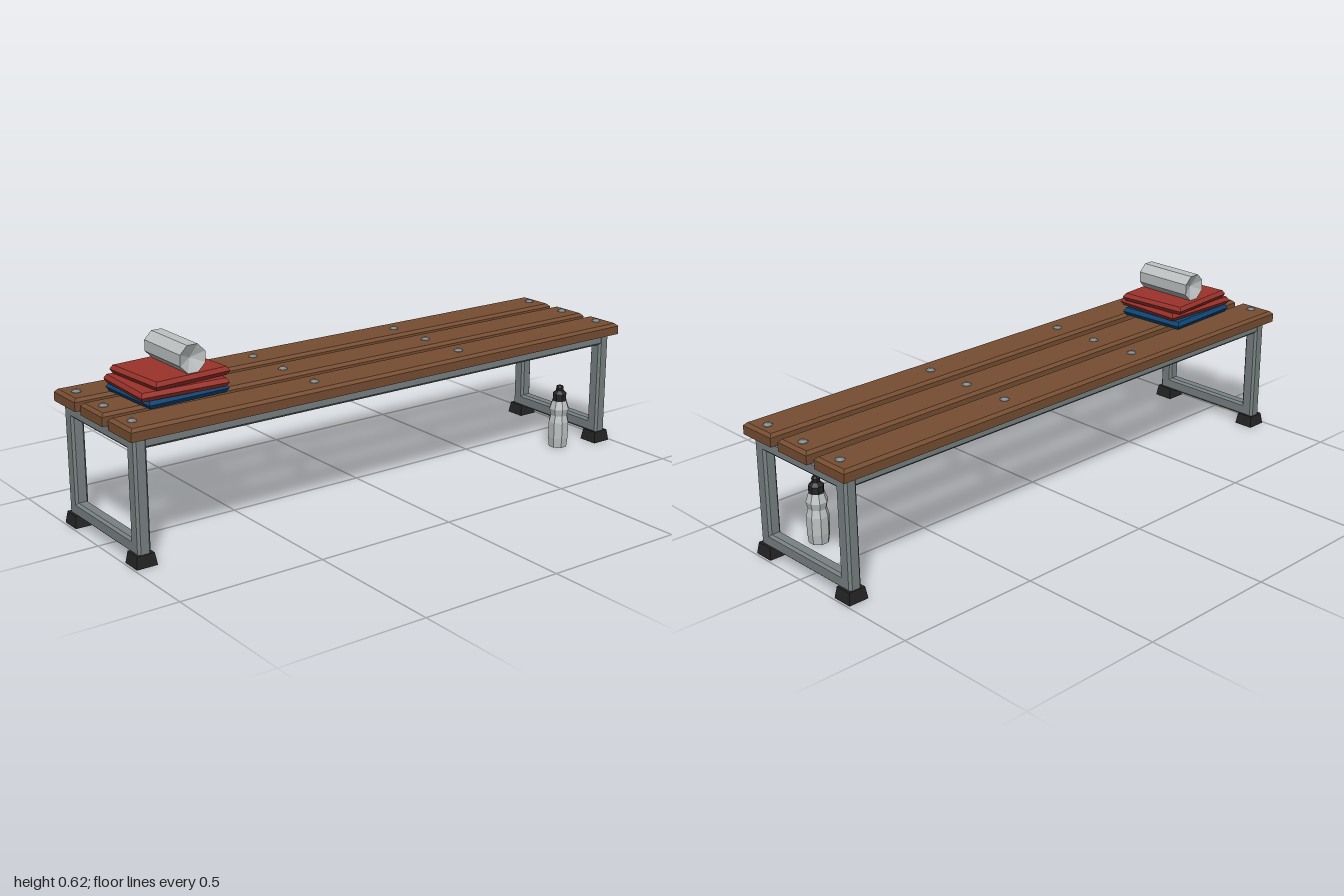
import * as THREE from 'three';

const material = (name, color) => {
  const m = new THREE.MeshStandardMaterial({ color });
  m.name = name;
  return m;
};

// Give every triangle its own normal for a faceted look
function faceted(geometry) {
  const g = geometry.index ? geometry.toNonIndexed() : geometry;
  g.computeVertexNormals();
  return g;
}

// Stack of rectangles [y, halfX, halfZ], closed at both ends
function stack(rings) {
  const positions = [], index = [];
  for (const [y, hx, hz] of rings)
    for (const [sx, sz] of [[1, 1], [1, -1], [-1, -1], [-1, 1]])
      positions.push(sx * hx, y, sz * hz);
  for (let i = 0; i < rings.length - 1; i++)
    for (let j = 0; j < 4; j++) {
      const a = i * 4 + j, b = i * 4 + (j + 1) % 4;
      index.push(a, b, b + 4, a, b + 4, a + 4);
    }
  const t = (rings.length - 1) * 4;
  index.push(0, 2, 1, 0, 3, 2, t, t + 1, t + 2, t, t + 2, t + 3);
  const g = new THREE.BufferGeometry();
  g.setAttribute('position', new THREE.Float32BufferAttribute(positions, 3));
  g.setIndex(index);
  return faceted(g);
}

// Rectangular tube with chamfered long edges, running along z
function bar(w, h, length, c = 0.008) {
  const x = w / 2, y = h / 2;
  const shape = new THREE.Shape([
    [x, c - y], [x, y - c], [x - c, y], [c - x, y],
    [-x, y - c], [-x, c - y], [c - x, -y], [x - c, -y],
  ].map(p => new THREE.Vector2(...p)));
  const g = new THREE.ExtrudeGeometry(shape, { depth: length, bevelEnabled: false });
  return faceted(g.translate(0, 0, -length / 2));
}

// Eight-sided turned form with flats facing the axes
function turned(points) {
  return faceted(new THREE.LatheGeometry(points.map(p => new THREE.Vector2(...p)), 8, Math.PI / 8));
}

const rectangle = (Type, hx, y0, y1) => new Type([
  new THREE.Vector2(-hx, y0), new THREE.Vector2(hx, y0),
  new THREE.Vector2(hx, y1), new THREE.Vector2(-hx, y1),
]);

export function createModel() {
  const wood = material('wood', 0x774e32);
  const steel = material('steel', 0x7a8283);
  const rubber = material('black rubber', 0x242424);
  const red = material('red cover', 0x9c322b);
  const blue = material('blue cover', 0x0e4676);
  const silver = material('silver', 0xbec2c2);

  const model = new THREE.Group();
  model.name = 'bench';
  const add = (name, geometry, mat, x = 0, y = 0, z = 0, parent = model) => {
    const mesh = new THREE.Mesh(geometry, mat);
    mesh.name = name;
    mesh.position.set(x, y, z);
    parent.add(mesh);
    return mesh;
  };

  // Seat planks, chamfered along the top
  const plank = stack([[0.41, 1, 0.071], [0.44, 1, 0.071], [0.45, 0.99, 0.061]]);
  for (const z of [-0.179, 0, 0.179]) add('seatPlank', plank, wood, 0, 0, z);

  // Bolts through planks into the frame
  const bolt = turned([[0, -0.002], [0.016, -0.002], [0.016, 0.001], [0.006, 0.009], [0, 0.009]]);
  for (const x of [-0.957, -0.3, 0.3, 0.957])
    for (const z of [-0.179, 0, 0.179]) add('bolt', bolt, steel, x, 0.45, z);

  // Closed rectangular end frames
  const outline = rectangle(THREE.Shape, 0.218, 0.041, 0.405);
  outline.holes.push(rectangle(THREE.Path, 0.185, 0.072, 0.375));
  const endFrame = faceted(new THREE.ExtrudeGeometry(outline, {
    depth: 0.029, bevelEnabled: true, bevelSize: 0.008, bevelThickness: 0.008, bevelSegments: 1,
  }).translate(0, 0, -0.0145).rotateY(Math.PI / 2));

  // Flared rubber feet
  const foot = stack([[0, 0.036, 0.036], [0.04, 0.03, 0.03]]);
  for (const x of [-0.957, 0.957]) {
    add('endFrame', endFrame, steel, x);
    for (const z of [-0.2, 0.2]) add('foot', foot, rubber, x, 0, z);
  }

  // Long rails and cross bars under the seat
  const rail = bar(0.046, 0.04, 1.88).rotateY(Math.PI / 2);
  for (const z of [-0.202, 0.202]) add('longRail', rail, steel, 0, 0.392, z);
  const crossBar = bar(0.042, 0.038, 0.38);
  for (const x of [-0.3, 0.3]) add('crossBar', crossBar, steel, x, 0.392, 0);

  // Stack of folded items with pointed edges: [name, material, width, depth, x, y, z, turn]
  const items = [
    ['bottomBook', blue, 0.293, 0.257, -0.727, 0.45, -0.01, 0.045],
    ['middleBook', red, 0.305, 0.261, -0.737, 0.478, 0.002, -0.04],
    ['topBook', red, 0.276, 0.26, -0.718, 0.506, -0.008, 0.075],
  ];
  for (const [name, mat, w, d, x, y, z, turn] of items) {
    const c = 0.008;
    const geometry = stack([
      [0, w / 2 - c, d / 2 - c], [0.014, w / 2, d / 2], [0.028, w / 2 - c, d / 2 - c],
    ]);
    add(name, geometry, mat, x, y, z).rotation.y = turn;
  }

  // Roll lying on the books, with hollowed ends
  const roll = turned([[0, -0.09], [0.0487, -0.11], [0.0487, 0.11], [0, 0.09]]);
  add('roll', roll.rotateX(Math.PI / 2), silver, -0.7, 0.579, -0.005);

  // Drinking bottle beside the left leg
  const bottle = new THREE.Group();
  bottle.name = 'bottle';
  bottle.position.set(0.8, 0, 0.167);
  model.add(bottle);
  add('bottleBody', turned([
    [0, 0], [0.034, 0], [0.038, 0.035], [0.038, 0.095],
    [0.031, 0.12], [0.037, 0.145], [0.027, 0.175], [0, 0.175],
  ]), silver, 0, 0, 0, bottle);
  add('bottleCap', turned([
    [0, 0.174], [0.026, 0.174], [0.026, 0.2], [0.014, 0.212],
    [0.014, 0.225], [0.01, 0.23], [0, 0.23],
  ]), rubber, 0, 0, 0, bottle);

  return model;
}
